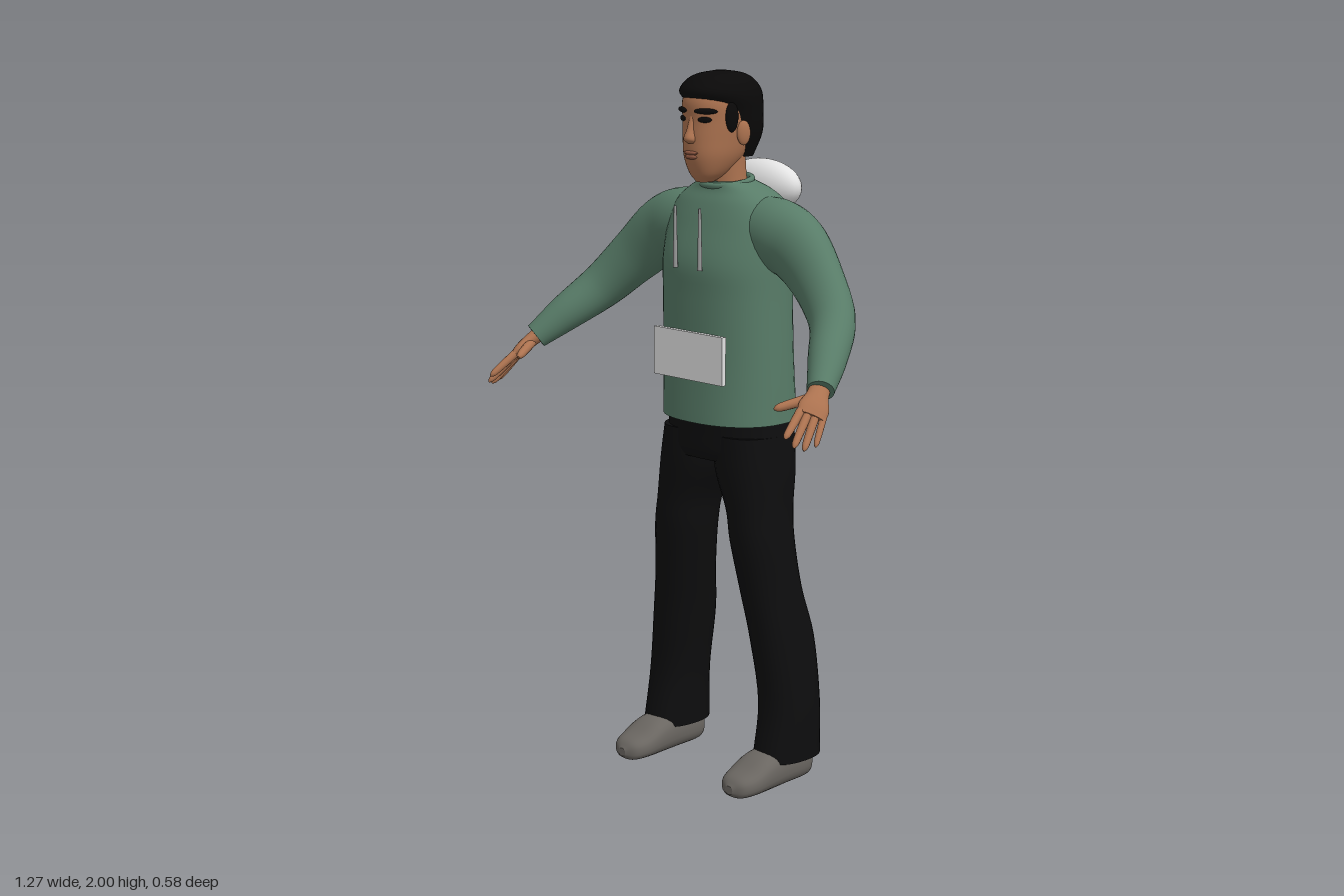
import * as THREE from 'three';

const mat = (name, color) => {
  const m = new THREE.MeshStandardMaterial({ color });
  m.name = name;
  return m;
};
const V = (x, y, z) => new THREE.Vector3(x, y, z);
const UP = V(0, 1, 0), FWD = V(0, 0, 1);

// Smooth closed skin through rings [x, y, z, radiusU, radiusW].
// axis fixes the ring plane; without it the rings follow the path.
function loft(rings, { axis = null, ref = FWD, power = 2, sides = 28, steps = 5 } = {}) {
  const path = new THREE.CatmullRomCurve3(rings.map(r => V(r[0], r[1], r[2])), false, 'catmullrom');
  const size = new THREE.CatmullRomCurve3(rings.map(r => V(r[3], r[4], 0)), false, 'catmullrom');
  const n = (rings.length - 1) * steps;
  const pos = [], index = [];
  const bend = v => Math.sign(v) * Math.pow(Math.abs(v), 2 / power);
  const addRing = t => {
    const c = path.getPoint(t), s = size.getPoint(t);
    const T = axis || path.getTangent(t);
    const u = ref.clone().cross(T).normalize(), w = T.clone().cross(u);
    for (let k = 0; k < sides; k++) {
      const a = (k / sides) * Math.PI * 2;
      const p = c.clone().addScaledVector(u, bend(Math.cos(a)) * s.x).addScaledVector(w, bend(Math.sin(a)) * s.y);
      pos.push(p.x, p.y, p.z);
    }
    return c;
  };
  for (let i = 0; i <= n; i++) addRing(i / n);
  for (let i = 0; i < n; i++) for (let k = 0; k < sides; k++) {
    const a = i * sides + k, b = i * sides + (k + 1) % sides;
    index.push(a, b, a + sides, b, b + sides, a + sides);
  }
  // flat end caps
  for (const t of [0, 1]) {
    const start = pos.length / 3, c = addRing(t);
    pos.push(c.x, c.y, c.z);
    for (let k = 0; k < sides; k++) {
      const a = start + k, b = start + (k + 1) % sides;
      index.push(start + sides, t ? a : b, t ? b : a);
    }
  }
  const g = new THREE.BufferGeometry();
  g.setAttribute('position', new THREE.Float32BufferAttribute(pos, 3));
  g.setIndex(index);
  g.computeVertexNormals();
  return g;
}

export function createModel() {
  const model = new THREE.Group();
  model.name = 'standingMan';
  const green = mat('sweater green', 0x587c68), skin = mat('skin', 0xad7350);
  const black = mat('trouser black', 0x0d0d0e), hairMat = mat('hair black', 0x0a0909);
  const white = mat('light grey', 0xe2e2e2), shoeMat = mat('shoe grey', 0x6a6661);
  const lip = mat('lip brown', 0x8c5640), cord = mat('cord grey', 0x9a9a9a);

  const add = (name, geo, material) => {
    const m = new THREE.Mesh(geo, material);
    m.name = name;
    model.add(m);
    return m;
  };
  const ball = (name, material, p, s, ry = 0) => {
    const m = add(name, new THREE.SphereGeometry(1, 28, 18), material);
    m.position.set(...p);
    m.scale.set(...s);
    m.rotation.y = ry;
    return m;
  };

  // Sweater body and collar
  add('sweaterBody', loft([
    [0, 1.035, -0.102, 0.2, 0.158], [0, 1.2, -0.096, 0.2, 0.147], [0, 1.38, -0.092, 0.199, 0.144],
    [0, 1.48, -0.092, 0.2, 0.143], [0, 1.58, -0.105, 0.2, 0.125], [0, 1.64, -0.108, 0.175, 0.106],
    [0, 1.675, -0.105, 0.13, 0.086], [0, 1.7, -0.09, 0.076, 0.068],
  ], { axis: UP, power: 2.3, sides: 40 }), green);
  const collar = add('collar', new THREE.TorusGeometry(0.07, 0.009, 10, 36), green);
  collar.position.set(0, 1.697, -0.088);
  collar.rotation.x = Math.PI / 2 + 0.15;
  collar.scale.set(1.05, 0.95, 1);

  // Hood roll, front pocket
  ball('hood', white, [0, 1.672, -0.232], [0.14, 0.075, 0.06]);
  const pocket = add('frontPocket', new THREE.BoxGeometry(0.27, 0.135, 0.014), white);
  pocket.position.set(0, 1.223, 0.056);

  // Trouser seat
  add('trouserSeat', loft([
    [0, 1.06, -0.105, 0.19, 0.13], [0, 1.0, -0.102, 0.197, 0.126],
    [0, 0.95, -0.097, 0.203, 0.12], [0, 0.925, -0.095, 0.19, 0.11],
  ].reverse(), { axis: UP, power: 2.4, sides: 36 }), black);

  // Neck and head
  add('neck', loft([
    [0, 1.65, -0.09, 0.064, 0.06], [0, 1.71, -0.083, 0.06, 0.058], [0, 1.79, -0.075, 0.06, 0.06],
  ], { axis: UP }), skin);
  add('head', loft([
    [0, 1.7, -0.005, 0.022, 0.026], [0, 1.725, -0.018, 0.048, 0.055], [0, 1.77, -0.04, 0.07, 0.091],
    [0, 1.82, -0.055, 0.08, 0.107], [0, 1.87, -0.06, 0.086, 0.109], [0, 1.92, -0.06, 0.086, 0.11],
    [0, 1.96, -0.06, 0.07, 0.09], [0, 1.98, -0.06, 0.04, 0.05],
  ], { axis: UP, power: 2.2, sides: 36 }), skin);
  add('hair', loft([
    [0, 1.765, -0.115, 0.06, 0.045], [0, 1.83, -0.106, 0.09, 0.077], [0, 1.895, -0.092, 0.097, 0.094],
    [0, 1.94, -0.065, 0.098, 0.122], [0, 1.972, -0.062, 0.082, 0.104], [0, 1.991, -0.062, 0.052, 0.072],
    [0, 2.0, -0.062, 0.012, 0.018],
  ], { axis: UP, power: 2.15, sides: 36 }), hairMat);

  // Nose and mouth
  add('nose', loft([
    [0, 1.885, 0.04, 0.008, 0.008], [0, 1.845, 0.049, 0.011, 0.013],
    [0, 1.82, 0.053, 0.018, 0.018], [0, 1.808, 0.047, 0.012, 0.01],
  ].reverse(), { axis: UP, sides: 16 }), skin);
  ball('upperLip', lip, [0, 1.782, 0.05], [0.026, 0.006, 0.009]);
  ball('lowerLip', lip, [0, 1.771, 0.049], [0.022, 0.007, 0.009]);

  for (const s of [1, -1]) {
    const side = s > 0 ? 'left' : 'right';
    const mirror = list => list.map(([x, ...rest]) => [x * s, ...rest]);

    // Face details
    ball(side + 'Brow', hairMat, [s * 0.045, 1.896, 0.037], [0.034, 0.008, 0.008], s * 0.5);
    ball(side + 'Eye', hairMat, [s * 0.042, 1.873, 0.038], [0.02, 0.008, 0.006], s * 0.5);
    ball(side + 'Ear', skin, [s * 0.091, 1.835, -0.062], [0.01, 0.034, 0.02], s * -0.35);
    ball(side + 'Sideburn', hairMat, [s * 0.083, 1.88, -0.025], [0.011, 0.042, 0.022]);

    // Drawstring
    const string = add(side + 'Drawstring', new THREE.CylinderGeometry(0.004, 0.007, 0.17, 10), cord);
    string.position.set(s * 0.048, 1.55, 0.063);

    // Sleeve
    add(side + 'Sleeve', loft(mirror([
      [0.08, 1.575, -0.105, 0.085, 0.08], [0.18, 1.562, -0.102, 0.1, 0.085],
      [0.265, 1.53, -0.098, 0.097, 0.075], [0.36, 1.452, -0.077, 0.082, 0.062],
      [0.45, 1.362, -0.035, 0.068, 0.06], [0.515, 1.283, 0.052, 0.054, 0.052],
      [0.563, 1.215, 0.13, 0.038, 0.036],
    ]), { sides: 30, steps: 6 }), green);

    // Hand: palm, four fingers and thumb
    const spread = V(s * 0.04, -0.01, -0.06).normalize();
    add(side + 'Palm', loft(mirror([
      [0.55, 1.232, 0.11, 0.024, 0.027], [0.567, 1.205, 0.145, 0.02, 0.03],
      [0.58, 1.18, 0.172, 0.018, 0.041], [0.589, 1.16, 0.194, 0.012, 0.038],
    ]), { ref: spread, sides: 20 }), skin);
    const tips = [[0.585, 1.115, 0.285], [0.606, 1.093, 0.275], [0.62, 1.084, 0.252], [0.629, 1.09, 0.218]];
    const finger = (name, a, b, r) => {
      const at = (t, k) => [...a.map((v, i) => v + (b[i] - v) * t), r * k, r * k];
      add(side + name, loft(mirror([at(0, 1.1), at(0.5, 1), at(0.88, 0.8), at(1, 0.2)]),
        { ref: spread, sides: 12, steps: 3 }), skin);
    };
    tips.forEach((tip, i) => {
      const k = i / 3;
      finger('Finger' + (i + 1), [0.566 + 0.036 * k, 1.173 - 0.008 * k, 0.208 - 0.052 * k], tip, i === 3 ? 0.009 : 0.011);
    });
    finger('Thumb', [0.558, 1.2, 0.152], [0.507, 1.175, 0.245], 0.013);

    // Trouser leg
    add(side + 'TrouserLeg', loft(mirror([
      [0.225, 0.08, -0.108, 0.076, 0.106], [0.222, 0.24, -0.12, 0.075, 0.092],
      [0.197, 0.42, -0.115, 0.077, 0.096], [0.172, 0.56, -0.095, 0.076, 0.091],
      [0.152, 0.7, -0.08, 0.081, 0.093], [0.138, 0.79, -0.083, 0.083, 0.098],
      [0.11, 0.9, -0.094, 0.103, 0.114], [0.1, 1.0, -0.1, 0.097, 0.118],
    ]), { axis: UP, power: 2.3 }), black);

    // Shoe
    add(side + 'Shoe', loft(mirror([
      [0.22, 0.055, -0.19, 0.018, 0.028], [0.22, 0.055, -0.172, 0.043, 0.05],
      [0.22, 0.06, -0.08, 0.055, 0.058], [0.22, 0.055, 0, 0.064, 0.053],
      [0.22, 0.04, 0.06, 0.062, 0.038], [0.22, 0.032, 0.1, 0.046, 0.029],
      [0.22, 0.028, 0.119, 0.014, 0.012],
    ]), { axis: FWD, ref: UP, power: 2.5 }), shoeMat);
  }
  return model;
}
